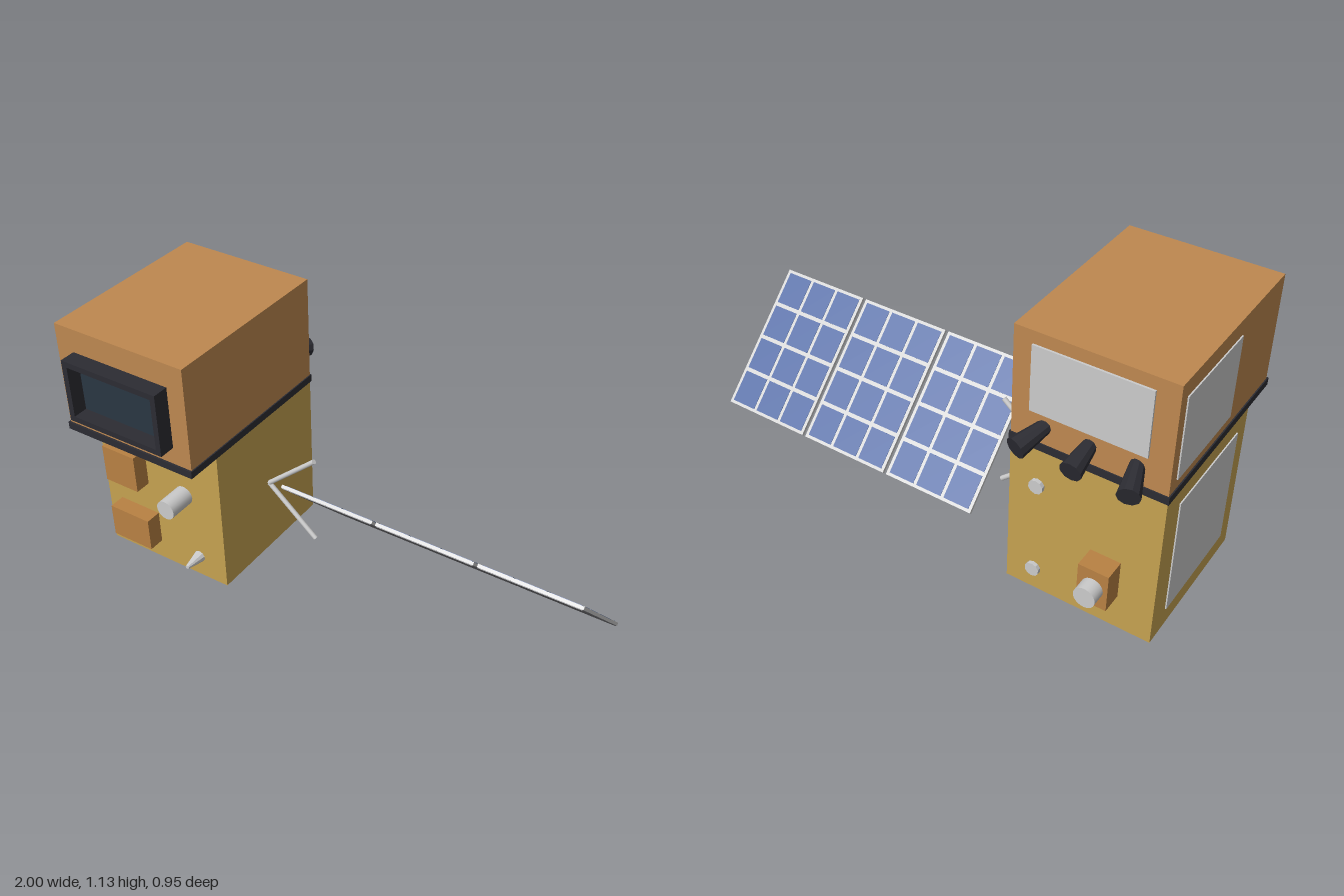
import * as THREE from 'three';

const mat = (color, flatShading = false) => new THREE.MeshStandardMaterial({ color, flatShading });
const M = {
  copper: mat(0xbe8850), gold: mat(0xc6a251), bronze: mat(0xb98143),
  dark: mat(0x2c2c33), darkFlat: mat(0x2c2c33, true), glass: mat(0x2a3642),
  grey: mat(0xcccccc), greyFlat: mat(0xcccccc, true),
  cell: mat(0x3b5c9c), backing: mat(0x737377),
};

function add(parent, name, geometry, material) {
  const mesh = new THREE.Mesh(geometry, material);
  mesh.name = name;
  parent.add(mesh);
  return mesh;
}

// Box given by its limits on each axis
function box(parent, name, material, [x0, x1], [y0, y1], [z0, z1]) {
  const mesh = add(parent, name, new THREE.BoxGeometry(x1 - x0, y1 - y0, z1 - z0), material);
  mesh.position.set((x0 + x1) / 2, (y0 + y1) / 2, (z0 + z1) / 2);
  return mesh;
}

// Round rod or cone from point a (radius ra) to point b (radius rb)
function rod(parent, name, material, a, b, ra, rb = ra, sides = 24) {
  const from = new THREE.Vector3(...a), to = new THREE.Vector3(...b);
  const dir = to.clone().sub(from);
  const mesh = add(parent, name, new THREE.CylinderGeometry(rb, ra, dir.length(), sides), material);
  mesh.position.copy(from).add(to).multiplyScalar(0.5);
  mesh.quaternion.setFromUnitVectors(new THREE.Vector3(0, 1, 0), dir.normalize());
  return mesh;
}

function rect(shape, x0, x1, y0, y1) {
  return shape.moveTo(x0, y0).lineTo(x1, y0).lineTo(x1, y1).lineTo(x0, y1).closePath();
}

// One solar panel: light frame, dark backing and a 3 x 4 field of cells
function solarPanel(width, length) {
  const panel = new THREE.Group();
  panel.name = 'solarPanel';
  box(panel, 'panelFrame', M.grey, [-width / 2, width / 2], [-0.005, 0.007], [-length / 2, length / 2]);
  box(panel, 'panelBacking', M.backing, [-width / 2 + 0.003, width / 2 - 0.003], [-0.008, -0.004],
    [-length / 2 + 0.003, length / 2 - 0.003]);
  const px = 0.126, pz = 0.148;
  for (let i = 0; i < 3; i++) {
    for (let j = 0; j < 4; j++) {
      const x = (i - 1) * px, z = (j - 1.5) * pz;
      box(panel, 'solarCell', M.cell, [x - 0.056, x + 0.056], [0.006, 0.0085], [z - 0.066, z + 0.066]);
    }
  }
  return panel;
}

export function createModel() {
  const model = new THREE.Group();
  model.name = 'satellite';

  // Main bodies, collar and launch ring
  const X = [-0.995, -0.42];
  box(model, 'lowerBody', M.gold, X, [0.05, 0.69], [-0.338, 0.27]);
  box(model, 'collar', M.dark, [-1, -0.415], [0.68, 0.71], [-0.343, 0.418]);
  box(model, 'upperBody', M.copper, X, [0.70, 1.133], [-0.338, 0.41]);
  rod(model, 'launchRing', M.dark, [-0.707, 0, -0.033], [-0.707, 0.055, -0.033], 0.197, 0.197, 48);

  // Instrument window with a recessed pane
  const frame = rect(new THREE.Shape(), -0.92, -0.495, 0.782, 1.037);
  frame.holes.push(rect(new THREE.Path(), -0.897, -0.517, 0.805, 1.014));
  add(model, 'windowFrame', new THREE.ExtrudeGeometry(frame, { depth: 0.07, bevelEnabled: false }), M.dark)
    .position.z = 0.405;
  box(model, 'windowPane', M.glass, [-0.892, -0.522], [0.81, 1.009], [0.405, 0.42]);

  // Front equipment
  box(model, 'upperFrontBox', M.bronze, [-0.93, -0.775], [0.415, 0.575], [0.26, 0.336]);
  box(model, 'lowerFrontBox', M.bronze, [-0.93, -0.742], [0.138, 0.28], [0.26, 0.336]);
  rod(model, 'frontSensor', M.grey, [-0.597, 0.432, 0.26], [-0.597, 0.432, 0.382], 0.04);
  rod(model, 'frontNozzle', M.greyFlat, [-0.548, 0.145, 0.265], [-0.548, 0.145, 0.35], 0.026, 0.008, 10);

  // Back equipment
  box(model, 'thrusterBox', M.bronze, [-0.86, -0.745], [0.195, 0.35], [-0.42, -0.33]);
  rod(model, 'thruster', M.grey, [-0.803, 0.272, -0.41], [-0.803, 0.272, -0.475], 0.041);
  for (const y of [0.145, 0.527]) {
    rod(model, 'backKnob', M.greyFlat, [-0.53, y, -0.33], [-0.53, y, -0.353], 0.028, 0.028, 10);
  }

  // Star trackers fanned out along the back
  for (const [x0, x1] of [[-0.875, -0.913], [-0.71, -0.71], [-0.547, -0.508]]) {
    rod(model, 'starTracker', M.darkFlat, [x0, 0.782, -0.325], [x1, 0.753, -0.453], 0.025, 0.04, 10);
  }

  // Radiator plates on the back and the right side
  box(model, 'backRadiator', M.grey, [-0.915, -0.49], [0.83, 1.085], [-0.346, -0.33]);
  box(model, 'upperSideRadiator', M.grey, [-1, -0.99], [0.75, 1.07], [-0.295, 0.09]);
  box(model, 'lowerSideRadiator', M.grey, [-1, -0.99], [0.13, 0.61], [-0.24, 0.195]);

  // Solar wing, tilted to face up and back, on a V-shaped yoke
  const wing = new THREE.Group();
  wing.name = 'solarWing';
  wing.position.set(0, 0.368, -0.035);
  model.add(wing);
  for (const x of [-0.005, 0.4, 0.805]) {
    const panel = solarPanel(0.39, 0.6);
    panel.position.x = x;
    panel.rotation.x = -Math.PI / 4;
    wing.add(panel);
  }
  for (const s of [-1, 1]) {
    rod(wing, 'yokeStrut', M.grey, [-0.417, 0, 0], [-0.2, s * 0.19, 0], 0.01, 0.01, 12);
  }
  return model;
}
